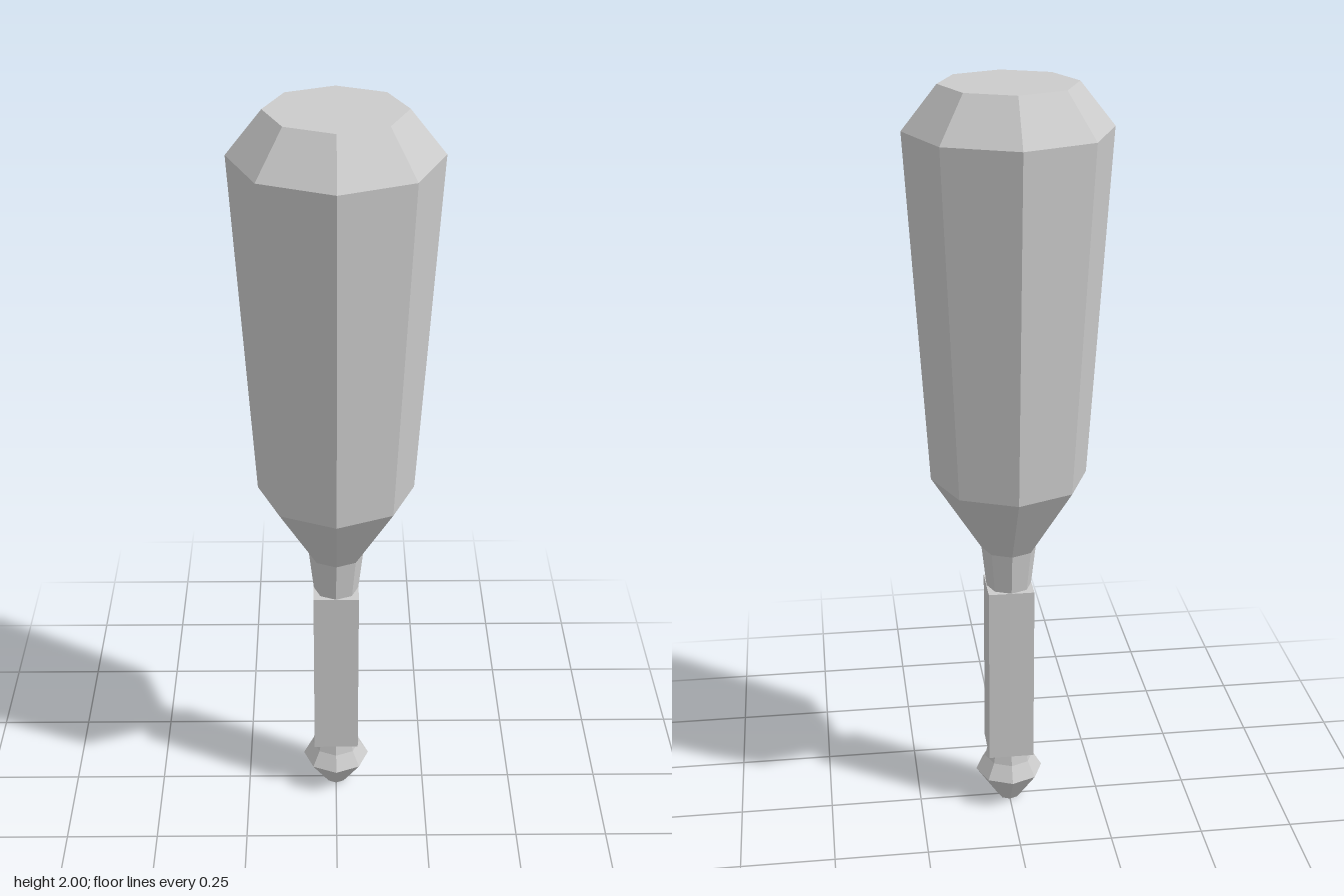
import * as THREE from 'three';

const material = new THREE.MeshStandardMaterial({ color: 0xcccccc, flatShading: true });

// Eight-sided turned part from [radius, height] pairs, listed bottom to top
function turned(name, profile) {
  const points = profile.map(([r, y]) => new THREE.Vector2(r, y));
  const mesh = new THREE.Mesh(new THREE.LatheGeometry(points, 8), material);
  mesh.name = name;
  return mesh;
}

export function createModel() {
  const group = new THREE.Group();
  group.name = 'turnedLeg';

  // Tapered body with a chamfered top and a narrow neck
  group.add(turned('upperBody', [
    [0, 0.665], [0.06, 0.665], [0.073, 0.78], [0.204, 0.985],
    [0.26, 1.89], [0.172, 2], [0, 2],
  ]));

  // Square shaft
  const bottom = 0.16, top = 0.667;
  const shaft = new THREE.Mesh(new THREE.BoxGeometry(0.122, top - bottom, 0.122), material);
  shaft.position.y = (bottom + top) / 2;
  shaft.name = 'squareShaft';
  group.add(shaft);

  // Flared tip below the shaft
  group.add(turned('tip', [
    [0, 0], [0.03, 0], [0.092, 0.09], [0.067, 0.132], [0.06, 0.162], [0, 0.162],
  ]));

  return group;
}
